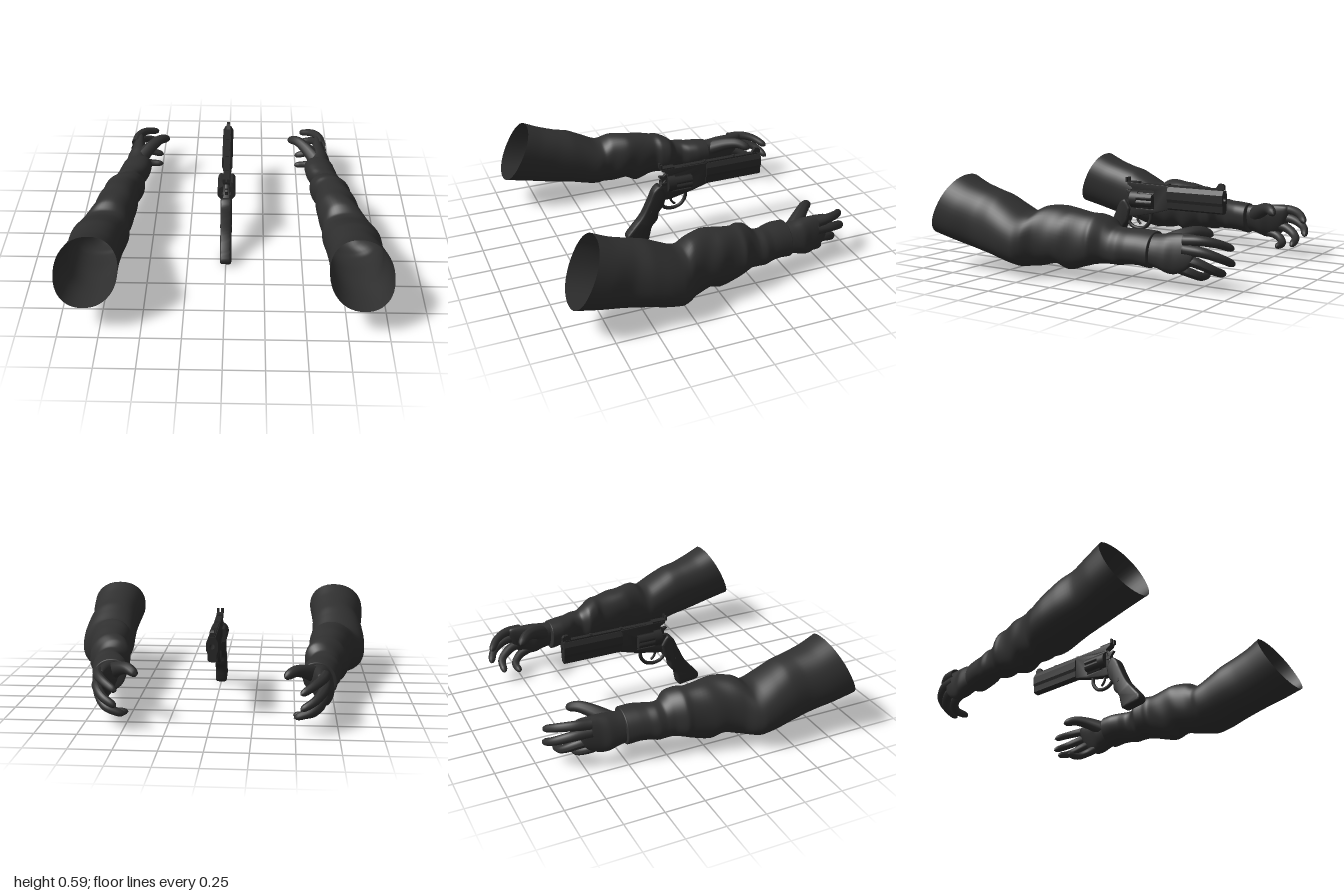
import * as THREE from 'three';
import { toCreasedNormals } from 'three/addons/utils/BufferGeometryUtils.js';

const fabric = new THREE.MeshStandardMaterial({ color: 0x303030, side: THREE.DoubleSide });
fabric.name = 'dark fabric';
const gunmetal = new THREE.MeshStandardMaterial({ color: 0x292929 });
gunmetal.name = 'gunmetal';

function add(group, name, geometry, material) {
  const mesh = new THREE.Mesh(geometry, material);
  mesh.name = name;
  group.add(mesh);
  return mesh;
}

// Lofts oval rings through stations [z, xMin, xMax, yMin, yMax, slant], running towards -z
function loft(stations, rings, sides, fold = () => 0) {
  const a = new THREE.CatmullRomCurve3(stations.map(s => new THREE.Vector3(s[0], s[1], s[2])), false, 'catmullrom', 0.4);
  const b = new THREE.CatmullRomCurve3(stations.map(s => new THREE.Vector3(s[3], s[4], s[5] || 0)), false, 'catmullrom', 0.4);
  const pos = [], index = [];
  for (let i = 0; i <= rings; i++) {
    const p = a.getPoint(i / rings), q = b.getPoint(i / rings);
    for (let j = 0; j < sides; j++) {
      const t = j / sides * Math.PI * 2;
      const c = Math.sign(Math.cos(t)) * Math.abs(Math.cos(t)) ** 0.92;
      const s = Math.sign(Math.sin(t)) * Math.abs(Math.sin(t)) ** 0.92;
      const k = 1 + fold(p.x, t);
      pos.push((p.y + p.z) / 2 + ((p.z - p.y) / 2 * c) * k - 0.02 * s,
        (q.x + q.y) / 2 + ((q.y - q.x) / 2 * s) * k, p.x - q.z * s);
      if (i < rings) {
        const n = (j + 1) % sides, u = i * sides, v = u + sides;
        index.push(u + j, v + j, u + n, u + n, v + j, v + n);
      }
    }
  }
  const g = new THREE.BufferGeometry();
  g.setAttribute('position', new THREE.Float32BufferAttribute(pos, 3));
  g.setIndex(index);
  g.computeVertexNormals();
  return g;
}

// Tapered tube with a rounded tip
function finger(points, r0, r1) {
  const seg = 22, sides = 12;
  const curve = new THREE.CatmullRomCurve3(points.map(p => new THREE.Vector3(...p)));
  const g = new THREE.TubeGeometry(curve, seg, 1, sides);
  const pos = g.attributes.position, v = new THREE.Vector3();
  for (let i = 0; i <= seg; i++) {
    const t = i / seg, c = curve.getPointAt(t), e = Math.max(0, (t - 0.86) / 0.14);
    const r = (r0 + (r1 - r0) * t) * Math.sqrt(Math.max(0.0004, 1 - e * e));
    for (let j = 0; j <= sides; j++) {
      const k = i * (sides + 1) + j;
      v.fromBufferAttribute(pos, k).sub(c).multiplyScalar(r).add(c);
      pos.setXYZ(k, v.x, v.y, v.z);
    }
  }
  g.computeVertexNormals();
  return g;
}

// Mirrors a geometry across x and restores its winding
function mirrored(g) {
  const m = g.clone().scale(-1, 1, 1), ix = m.index.array;
  for (let i = 0; i < ix.length; i += 3) [ix[i], ix[i + 1]] = [ix[i + 1], ix[i]];
  m.computeVertexNormals();
  return m;
}

// Side profile in (z, y), extruded across x and centred
function profile(points, width, bevel = 0, hole = null, smooth = false) {
  const vec = list => list.map(p => new THREE.Vector2(...p));
  const shape = new THREE.Shape();
  if (smooth) {
    shape.moveTo(...points[0]);
    shape.splineThru(vec([...points.slice(1), points[0]]));
  } else shape.setFromPoints(vec(points));
  if (hole) shape.holes.push(new THREE.Path(vec(hole)));
  const depth = width - 2 * bevel;
  const g = new THREE.ExtrudeGeometry(shape, {
    depth, curveSegments: 5, bevelEnabled: bevel > 0, bevelSize: bevel, bevelThickness: bevel, bevelOffset: -bevel, bevelSegments: 3,
  });
  g.translate(0, 0, -depth / 2).rotateY(-Math.PI / 2);
  return toCreasedNormals(g, 0.6);
}

function buildArms(root) {
  const sleeve = loft([
    [0.875, 0.62, 1.0, 0.21, 0.595, 0.095], [0.75, 0.63, 0.99, 0.175, 0.55, 0.07],
    [0.62, 0.635, 0.97, 0.14, 0.515, 0.05], [0.5, 0.63, 0.98, 0.11, 0.49, 0.02],
    [0.4, 0.625, 0.985, 0.08, 0.45], [0.31, 0.62, 0.98, 0.065, 0.405],
    [0.26, 0.625, 0.955, 0.07, 0.4], [0.2, 0.62, 0.91, 0.075, 0.43],
    [0.1, 0.6, 0.88, 0.09, 0.44], [0.02, 0.595, 0.865, 0.067, 0.43],
    [-0.1, 0.6, 0.84, 0.095, 0.41], [-0.15, 0.575, 0.835, 0.11, 0.405],
    [-0.21, 0.565, 0.8, 0.115, 0.38], [-0.26, 0.6, 0.79, 0.12, 0.34],
    [-0.31, 0.6, 0.79, 0.12, 0.335], [-0.36, 0.57, 0.775, 0.125, 0.33],
    [-0.42, 0.55, 0.765, 0.125, 0.33], [-0.485, 0.545, 0.755, 0.115, 0.325],
    [-0.5, 0.55, 0.75, 0.12, 0.32], [-0.503, 0.6, 0.72, 0.15, 0.29],
  ], 114, 48, (z, t) => {
    // diagonal cloth folds between elbow and cuff
    const env = Math.exp(-(((z - 0.05) / 0.24) ** 2));
    return env * (0.03 * Math.sin(z * 34 + 2 * Math.sin(t)) * Math.cos(t - 0.5) + 0.015 * Math.sin(z * 21 + 3 * t));
  });
  const palm = loft([
    [-0.46, 0.59, 0.73, 0.135, 0.31], [-0.54, 0.59, 0.73, 0.12, 0.315],
    [-0.6, 0.59, 0.73, 0.1, 0.325], [-0.65, 0.605, 0.715, 0.095, 0.33, 0.01],
    [-0.7, 0.615, 0.705, 0.105, 0.33, 0.025], [-0.745, 0.625, 0.695, 0.125, 0.325, 0.03],
    [-0.77, 0.64, 0.685, 0.16, 0.3, 0.02], [-0.775, 0.66, 0.665, 0.22, 0.24],
  ], 35, 28);
  const parts = {
    sleeve, palm,
    thumb: finger([[0.64, 0.25, -0.54], [0.555, 0.305, -0.645], [0.495, 0.32, -0.71], [0.433, 0.295, -0.77]], 0.055, 0.026),
    indexFinger: finger([[0.67, 0.295, -0.7], [0.655, 0.3, -0.8], [0.61, 0.285, -0.88], [0.525, 0.245, -0.95]], 0.034, 0.022),
    middleFinger: finger([[0.675, 0.245, -0.7], [0.66, 0.235, -0.82], [0.61, 0.2, -0.91], [0.525, 0.155, -0.955]], 0.035, 0.022),
    ringFinger: finger([[0.67, 0.19, -0.68], [0.655, 0.17, -0.78], [0.6, 0.125, -0.86], [0.49, 0.085, -0.875]], 0.035, 0.022),
    littleFinger: finger([[0.665, 0.14, -0.63], [0.645, 0.11, -0.72], [0.59, 0.08, -0.77], [0.485, 0.072, -0.77]], 0.032, 0.021),
  };
  for (const side of ['left', 'right']) {
    const arm = new THREE.Group();
    arm.name = side + 'Arm';
    for (const [name, g] of Object.entries(parts)) add(arm, name, side === 'left' ? g : mirrored(g), fabric);
    root.add(arm);
  }
}

function buildRevolver(root) {
  const gun = new THREE.Group();
  gun.name = 'revolver';
  root.add(gun);
  const box = (name, w, h, d, x, y, z) => add(gun, name, new THREE.BoxGeometry(w, h, d).translate(x, y, z), gunmetal);

  // Barrel shroud with an open bore
  const section = new THREE.Shape([[-0.016, 0.345], [0.016, 0.345], [0.026, 0.355], [0.028, 0.395], [0.035, 0.415],
    [0.035, 0.465], [0.02, 0.495], [-0.02, 0.495], [-0.035, 0.465], [-0.035, 0.415], [-0.028, 0.395], [-0.026, 0.355]]
    .map(p => new THREE.Vector2(...p)));
  section.holes.push(new THREE.Path().absarc(0, 0.44, 0.016, 0, Math.PI * 2, true));
  add(gun, 'barrel', new THREE.ExtrudeGeometry(section, { depth: 0.4, bevelEnabled: false }).translate(0, 0, -0.622), gunmetal);
  box('topRib', 0.03, 0.012, 0.56, 0, 0.499, -0.33);
  for (const z of [-0.43, -0.22]) box('ribStud', 0.022, 0.008, 0.016, 0, 0.508, z);
  add(gun, 'frontSight', profile([[-0.622, 0.5], [-0.622, 0.525], [-0.61, 0.537], [-0.585, 0.537], [-0.56, 0.5]], 0.022), gunmetal);

  // Frame with a window for the cylinder
  add(gun, 'frame', profile(
    [[-0.23, 0.345], [-0.13, 0.315], [0.03, 0.28], [0.1, 0.28], [0.13, 0.35], [0.09, 0.4], [0.06, 0.43], [0.05, 0.47], [0.085, 0.49], [0.09, 0.505], [-0.23, 0.5]],
    0.044, 0.004, [[-0.117, 0.337], [0.055, 0.337], [0.055, 0.457], [-0.117, 0.457]]), gunmetal);
  box('rearSightBase', 0.04, 0.01, 0.09, 0, 0.508, 0.045);
  for (const x of [-0.014, 0.014]) box('rearSightBlade', 0.018, 0.032, 0.012, x, 0.522, 0.093);

  // Fluted cylinder and its chambers
  const ring = [];
  for (let i = 0; i < 72; i++) {
    const a = i / 72 * Math.PI * 2, r = 0.06 - 0.011 * Math.max(0, Math.cos(6 * a)) ** 2;
    ring.push(new THREE.Vector2(r * Math.cos(a), 0.396 + r * Math.sin(a)));
  }
  const flutes = new THREE.ExtrudeGeometry(new THREE.Shape(ring), { depth: 0.115, bevelEnabled: false }).translate(0, 0, -0.115);
  add(gun, 'flutedCylinder', toCreasedNormals(flutes, 0.6), gunmetal);
  const rod = (name, r, len, y, z) => add(gun, name, new THREE.CylinderGeometry(r, r, len, 32).rotateX(Math.PI / 2).translate(0, y, z), gunmetal);
  rod('cylinderRear', 0.06, 0.053, 0.396, 0.0265);
  rod('ejectorRod', 0.012, 0.12, 0.375, -0.17);
  for (const x of [-0.025, 0.025]) box('cylinderLatch', 0.01, 0.02, 0.035, x, 0.4, 0.075);

  // Hammer, trigger and guard
  add(gun, 'hammer', profile([[0.03, 0.4], [0.035, 0.46], [0.055, 0.468], [0.075, 0.45], [0.1, 0.455], [0.108, 0.447], [0.085, 0.425], [0.085, 0.39]], 0.02, 0.003), gunmetal);
  const bar = (name, pts, r) => add(gun, name,
    new THREE.TubeGeometry(new THREE.CatmullRomCurve3(pts.map(([z, y]) => new THREE.Vector3(0, y, z))), 28, r, 10), gunmetal);
  bar('triggerGuard', [[-0.085, 0.32], [-0.08, 0.26], [-0.045, 0.215], [0.01, 0.2], [0.065, 0.215], [0.1, 0.26]], 0.012);
  bar('trigger', [[0.02, 0.3], [0.022, 0.27], [0.01, 0.245], [-0.008, 0.228]], 0.008);

  // Grip with side screws
  add(gun, 'grip', profile(
    [[0.06, 0.33], [0.1, 0.39], [0.145, 0.365], [0.18, 0.29], [0.23, 0.19], [0.3, 0.105], [0.338, 0.055], [0.325, 0.02],
      [0.25, 0.008], [0.195, 0.003], [0.18, 0.04], [0.165, 0.1], [0.125, 0.15], [0.115, 0.2], [0.08, 0.25]],
    0.074, 0.014, null, true), gunmetal);
  add(gun, 'gripScrew', new THREE.CylinderGeometry(0.012, 0.012, 0.08, 16).rotateZ(Math.PI / 2).translate(0, 0.21, 0.165), gunmetal);
}

export function createModel() {
  const root = new THREE.Group();
  root.name = 'armsAndRevolver';
  buildArms(root);
  buildRevolver(root);
  return root;
}
